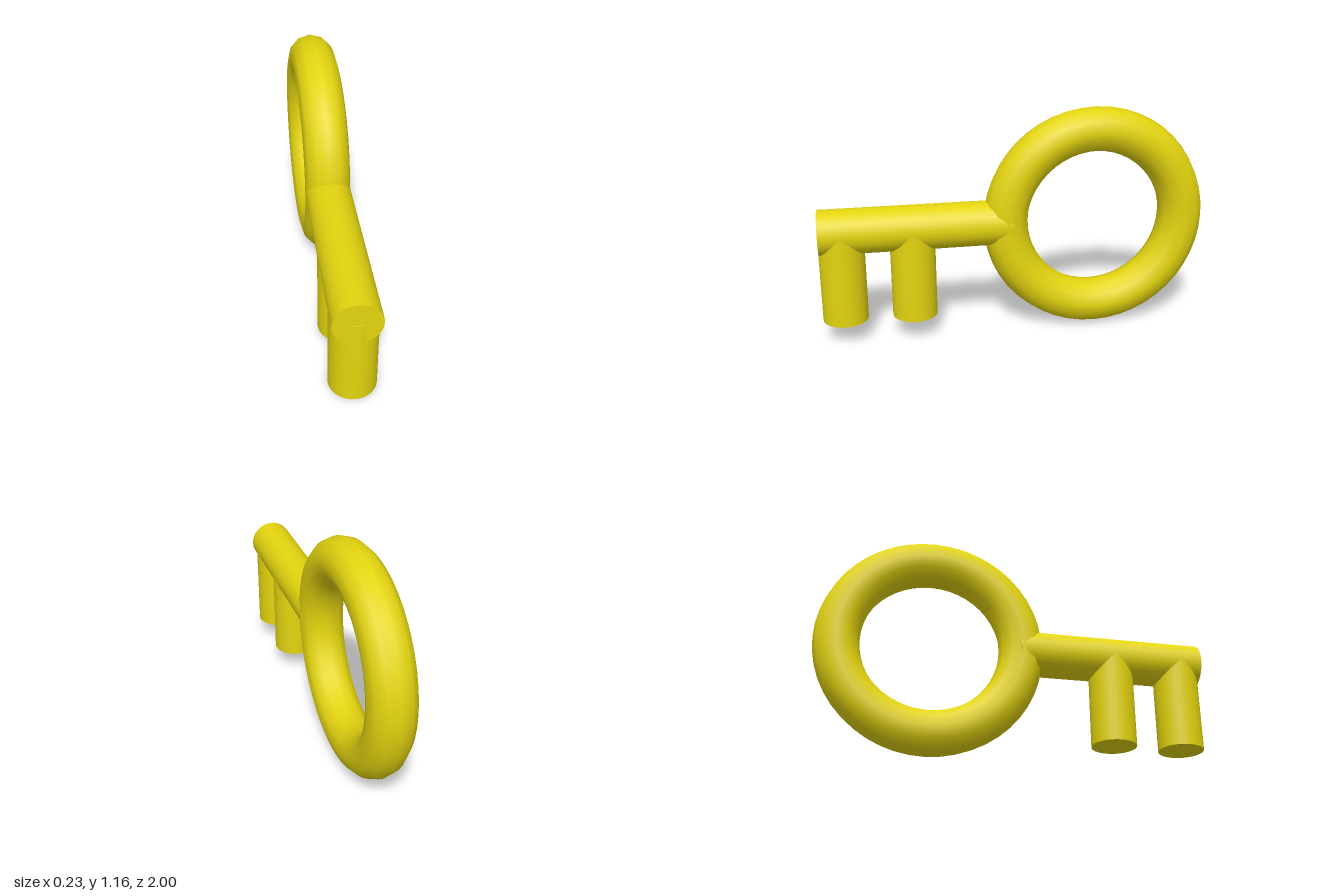
import * as THREE from 'three';

const R = 0.115;        // thickness shared by every part
const AXIS_Y = 0.584;   // height of the shaft and ring centre

export function createModel() {
  const key = new THREE.Group();
  key.name = 'key';
  const material = new THREE.MeshStandardMaterial({ color: 0xe3d40f });

  const add = (name, geometry, y, z) => {
    const mesh = new THREE.Mesh(geometry, material);
    mesh.name = name;
    mesh.position.set(0, y, z);
    key.add(mesh);
    return mesh;
  };

  // Ring handle, standing in the y-z plane
  const ring = new THREE.TorusGeometry(0.467, R, 12, 48).rotateY(Math.PI / 2);
  add('ringHandle', ring, AXIS_Y, -0.416);

  // Shaft, its back end buried in the ring
  const front = 0.994, back = 0.03;
  const shaft = new THREE.CylinderGeometry(R, R, front - back, 32).rotateX(Math.PI / 2);
  add('shaft', shaft, AXIS_Y, (front + back) / 2);

  // Two teeth hanging below the shaft
  const bottom = 0.112, top = 0.58;
  [['frontTooth', 0.885], ['rearTooth', 0.53]].forEach(([name, z]) => {
    add(name, new THREE.CylinderGeometry(R, R, top - bottom, 32), (top + bottom) / 2, z);
  });

  return key;
}
